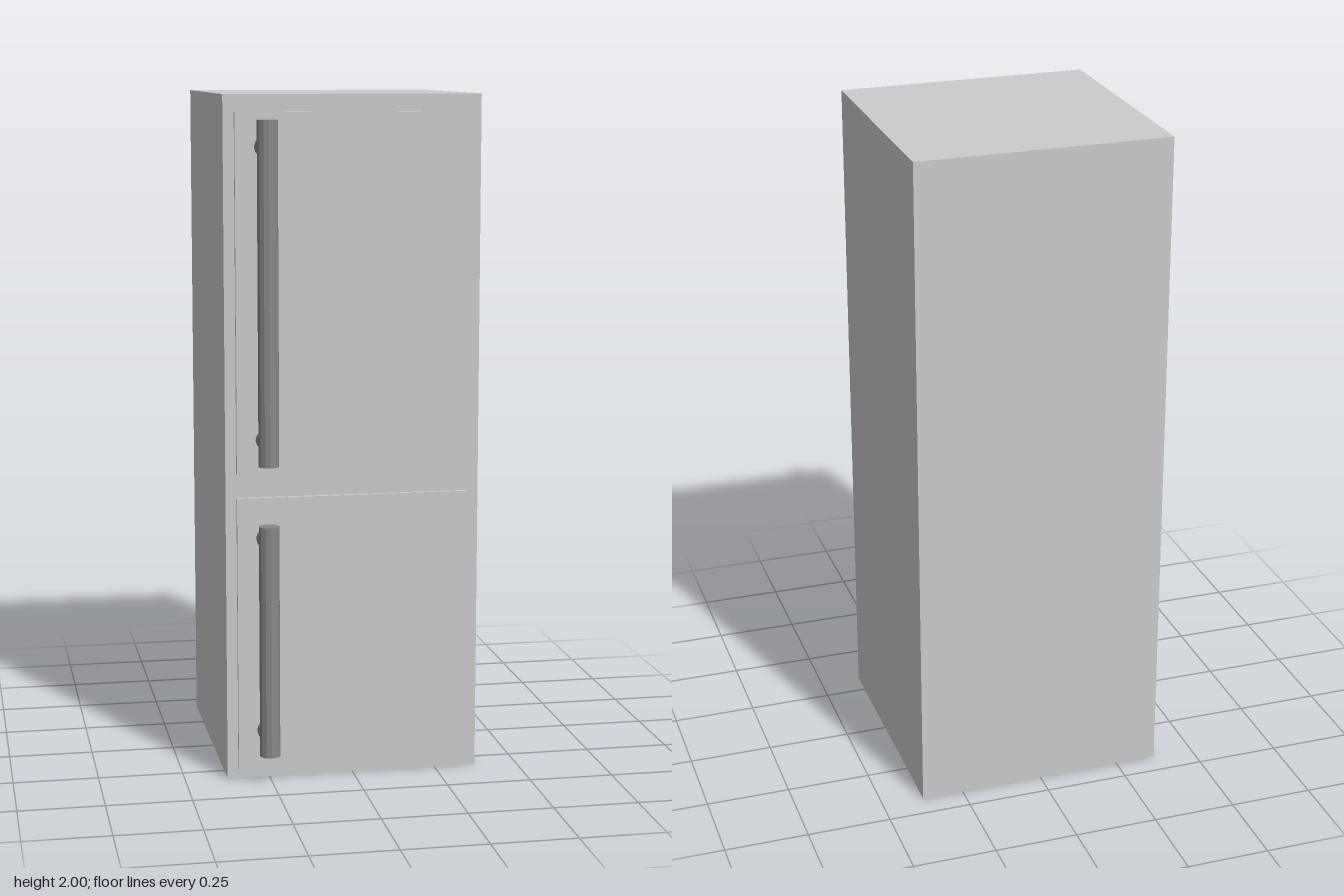
import * as THREE from 'three';

export function createModel() {
  const model = new THREE.Group();
  const bodyMat = new THREE.MeshStandardMaterial({ color: 0xcccccc });
  const handleMat = new THREE.MeshStandardMaterial({ color: 0x888888, flatShading: true });

  const add = (parent, name, geometry, material, x, y, z) => {
    const mesh = new THREE.Mesh(geometry, material);
    mesh.name = name;
    mesh.position.set(x, y, z);
    parent.add(mesh);
    return mesh;
  };

  // Cabinet
  const front = 0.325, doorThickness = 0.013;
  add(model, 'cabinet', new THREE.BoxGeometry(0.75, 2, 0.75), bodyMat, 0, 1, -0.05);

  // Door panel with a vertical bar handle on two round mounts
  const handleX = -0.258, handleZ = 0.392, radius = 0.03;
  const addDoor = (name, [y0, y1], [h0, h1], mounts) => {
    const door = new THREE.Group();
    door.name = name;
    model.add(door);

    add(door, 'doorPanel', new THREE.BoxGeometry(0.686, y1 - y0, doorThickness), bodyMat,
      0, (y0 + y1) / 2, front + doorThickness / 2);
    add(door, 'handleBar', new THREE.CylinderGeometry(radius, radius, h1 - h0, 12), handleMat,
      handleX, (h0 + h1) / 2, handleZ);

    const z0 = front + doorThickness;
    for (const y of mounts) {
      const mount = add(door, 'handleMount',
        new THREE.CylinderGeometry(radius, radius, handleZ - z0, 12), handleMat,
        handleX, y, (z0 + handleZ) / 2);
      mount.rotation.x = Math.PI / 2;
    }
  };
  addDoor('upperDoor', [0.915, 1.95], [0.945, 1.93], [1.853, 1.014]);
  addDoor('lowerDoor', [0.03, 0.843], [0.085, 0.77], [0.725, 0.148]);

  return model;
}
